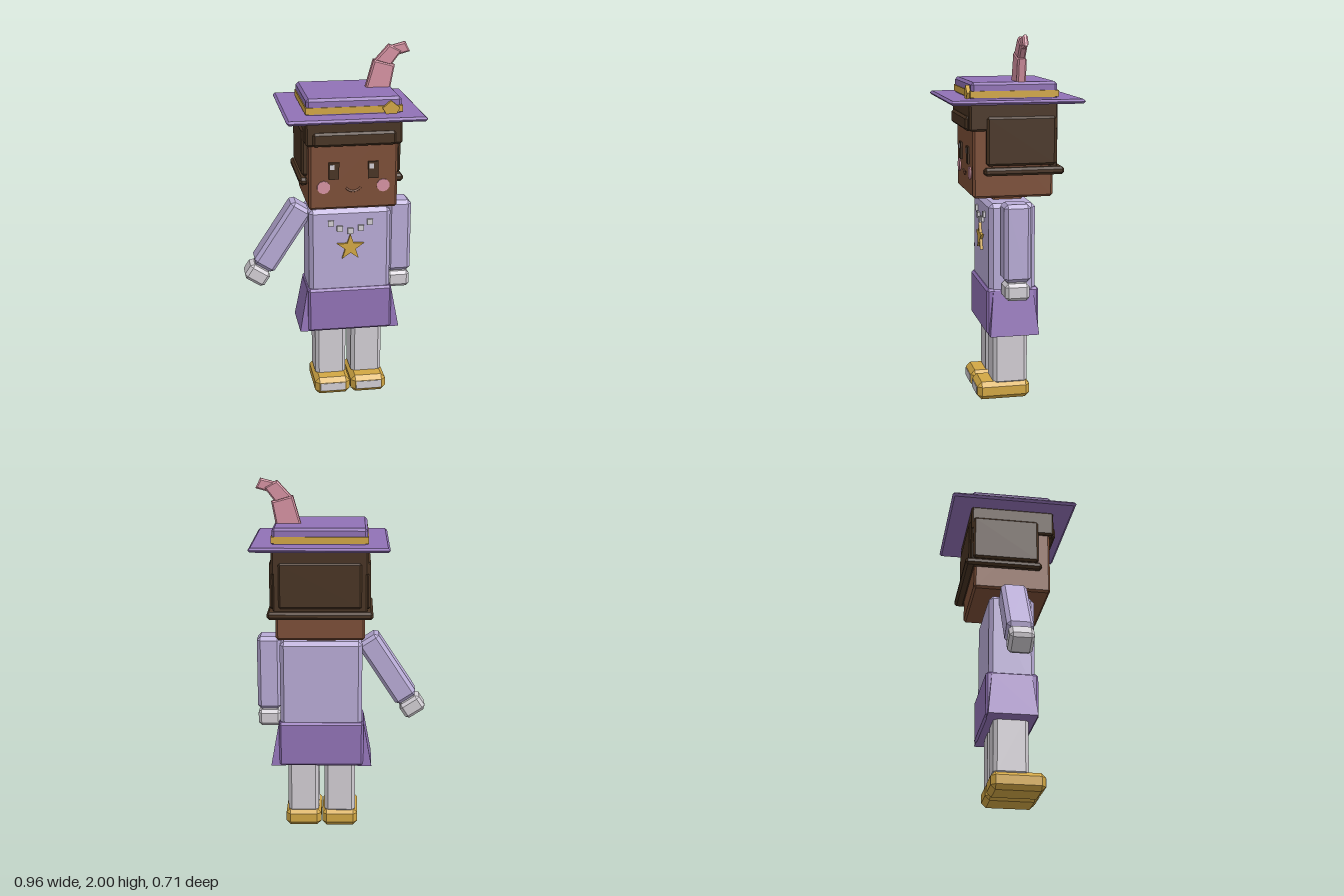
import * as THREE from 'three';
import { ConvexGeometry } from 'three/addons/geometries/ConvexGeometry.js';

const paint = (name, color) => {
  const m = new THREE.MeshStandardMaterial({ color });
  m.name = name;
  return m;
};

export function createModel() {
  const root = new THREE.Group();
  root.name = 'hattedFigure';
  const purple = paint('purple', 0x9172b6);
  const lilac = paint('lilac', 0xb8abd6);
  const grey = paint('paleGrey', 0xd2ced4);
  const gold = paint('gold', 0xd2a744);
  const skin = paint('brownSkin', 0x7c4e37);
  const hair = paint('darkHair', 0x483322);
  const pink = paint('pink', 0xd692a2);
  const CX = 0.105; // body centre line

  const add = (name, geo, mat, parent = root) => {
    const mesh = new THREE.Mesh(geo, mat);
    mesh.name = name;
    parent.add(mesh);
    return mesh;
  };

  // Box with flat chamfers on every edge
  const chamferBox = (w, h, d, b) => {
    const half = [w / 2, h / 2, d / 2];
    const inset = half.map((v) => v - Math.min(b, v * 0.9));
    const pts = [];
    for (let axis = 0; axis < 3; axis++)
      for (const sx of [-1, 1]) for (const sy of [-1, 1]) for (const sz of [-1, 1]) {
        const s = [sx, sy, sz];
        pts.push(new THREE.Vector3(...s.map((v, i) => v * (i === axis ? half[i] : inset[i]))));
      }
    return new ConvexGeometry(pts);
  };

  // Chamfered box given by its limits
  const block = (name, mat, [x0, x1], [y0, y1], [z0, z1], b = 0.01, parent = root) => {
    const mesh = add(name, chamferBox(x1 - x0, y1 - y0, z1 - z0, b), mat, parent);
    mesh.position.set((x0 + x1) / 2, (y0 + y1) / 2, (z0 + z1) / 2);
    return mesh;
  };

  // Flat outline extruded along z, with a small bevel
  const slab = (name, mat, pts, z0, depth, bevel = 0) => {
    const shape = new THREE.Shape(pts.map(([x, y]) => new THREE.Vector2(x, y)));
    const geo = new THREE.ExtrudeGeometry(shape, {
      depth: depth - 2 * bevel, bevelEnabled: bevel > 0, bevelSegments: 1,
      bevelSize: bevel, bevelThickness: bevel, bevelOffset: -bevel,
    });
    const mesh = add(name, geo, mat);
    mesh.position.z = z0 + bevel;
    return mesh;
  };

  // Legs and shoes
  for (const s of [-1, 1]) {
    const x = CX + s * 0.104;
    block('leg', grey, [x - 0.088, x + 0.088], [0.08, 0.42], [-0.092, 0.1], 0.02);
    block('shoe', gold, [x - 0.101, x + 0.101], [0, 0.1], [-0.105, 0.19], 0.025);
    add('toePlate', new THREE.BoxGeometry(0.145, 0.045, 0.006), grey).position.set(x, 0.05, 0.19);
  }

  // Skirt with a flared panel on each side
  block('skirt', purple, [CX - 0.238, CX + 0.238], [0.385, 0.64], [-0.142, 0.146], 0.012);
  for (const s of [-1, 1]) {
    const pts = [];
    for (const [y, out, z] of [[0.63, 0.24, 0.11], [0.385, 0.284, 0.135]])
      for (const side of [-1, 1]) for (const x of [0.2, out])
        pts.push(new THREE.Vector3(CX + s * x, y, side * z));
    add('skirtFlare', new ConvexGeometry(pts), purple);
  }

  // Torso and neck
  block('torso', lilac, [CX - 0.23, CX + 0.23], [0.55, 1.105], [-0.125, 0.13], 0.022);
  block('neck', skin, [CX - 0.082, CX + 0.082], [1.08, 1.17], [-0.08, 0.08], 0.008);

  // Necklace beads and star pendant
  for (const [dx, y] of [[-0.11, 1.03], [-0.06, 0.997], [0, 0.982], [0.06, 0.997], [0.11, 1.03]])
    add('necklaceBead', new THREE.BoxGeometry(0.032, 0.032, 0.02), grey).position.set(CX + dx, y, 0.134);
  const star = [];
  for (let i = 0; i < 10; i++) {
    const a = Math.PI / 2 + (i * Math.PI) / 5, r = i % 2 ? 0.031 : 0.079;
    star.push([CX + r * Math.cos(a), 0.885 + r * Math.sin(a)]);
  }
  slab('starPendant', gold, star, 0.125, 0.02);

  // Arms: one hangs, the other swings outward
  for (const [name, x, y, angle] of [['leftArm', 0.398, 0.91, 0], ['rightArm', -0.265, 0.933, -0.578]]) {
    const arm = new THREE.Group();
    arm.name = name;
    arm.position.set(x, y, 0);
    arm.rotation.z = angle;
    root.add(arm);
    block('sleeve', lilac, [-0.067, 0.067], [-0.21, 0.21], [-0.073, 0.073], 0.02, arm);
    block('wrist', grey, [-0.045, 0.045], [-0.24, -0.19], [-0.05, 0.05], 0.005, arm);
    block('hand', grey, [-0.065, 0.065], [-0.312, -0.218], [-0.067, 0.067], 0.018, arm);
  }

  // Head and face
  block('head', skin, [CX - 0.243, CX + 0.243], [1.14, 1.62], [-0.215, 0.22], 0.012);
  for (const s of [-1, 1]) {
    const x = CX + s * 0.107;
    add('eye', new THREE.BoxGeometry(0.056, 0.094, 0.009), hair).position.set(x, 1.358, 0.2245);
    add('eyeGlint', new THREE.BoxGeometry(0.023, 0.027, 0.004), grey).position.set(x - 0.01, 1.38, 0.23);
    const cheek = add('cheek', new THREE.CylinderGeometry(0.036, 0.036, 0.008, 10), pink);
    cheek.rotation.x = Math.PI / 2;
    cheek.position.set(CX + s * 0.163, 1.268, 0.223);
  }
  const smile = add('mouth', new THREE.TorusGeometry(0.05, 0.006, 6, 8, 1.9), skin);
  smile.rotation.z = -Math.PI / 2 - 0.95;
  smile.position.set(CX, 1.29, 0.22);

  // Hair: cap, fringe, back, sides and the roll round the back
  block('hairCap', hair, [CX - 0.262, CX + 0.262], [1.5, 1.648], [-0.235, 0.241], 0.01);
  block('fringe', hair, [CX - 0.225, CX + 0.225], [1.5, 1.575], [0.2, 0.257], 0.012);
  block('hairBack', hair, [CX - 0.255, CX + 0.255], [1.29, 1.6], [-0.235, -0.19], 0.008);
  block('hairBackPanel', hair, [CX - 0.225, CX + 0.225], [1.32, 1.57], [-0.244, -0.2], 0.01);
  for (const s of [-1, 1]) {
    const side = block('hairSide', hair, [-0.035, 0.035], [1.315, 1.575], [-0.225, 0.15], 0.012);
    side.position.x = CX + s * 0.238;
    const roll = block('hairRollSide', hair, [-0.024, 0.024], [1.264, 1.306], [-0.268, 0.166], 0.013);
    roll.position.x = CX + s * 0.263;
  }
  block('hairRollBack', hair, [CX - 0.285, CX + 0.285], [1.264, 1.306], [-0.268, -0.21], 0.013);

  // Hat with a band and ornament
  block('hatBrim', purple, [CX - 0.373, CX + 0.373], [1.645, 1.669], [-0.358, 0.356], 0.012);
  block('hatCrown', purple, [CX - 0.256, CX + 0.256], [1.655, 1.755], [-0.233, 0.23], 0.014);
  add('hatBand', new THREE.BoxGeometry(0.522, 0.035, 0.474), gold).position.set(CX, 1.692, -0.002);
  slab('bandOrnament', gold,
    [[0.272, 1.669], [0.33, 1.669], [0.348, 1.7], [0.3, 1.738], [0.254, 1.7]], 0.22, 0.03);

  // Feather in three bent sections
  const feather = [
    [[[0.205, 1.73], [0.345, 1.73], [0.372, 1.875], [0.255, 1.907]], 0.05],
    [[[0.26, 1.9], [0.34, 1.988], [0.41, 1.95], [0.35, 1.87]], 0.042],
    [[[0.335, 1.975], [0.43, 2], [0.457, 1.945], [0.385, 1.925]], 0.03],
  ];
  for (const [pts, depth] of feather) slab('feather', pink, pts, -0.04 - depth / 2, depth, 0.009);

  return root;
}
